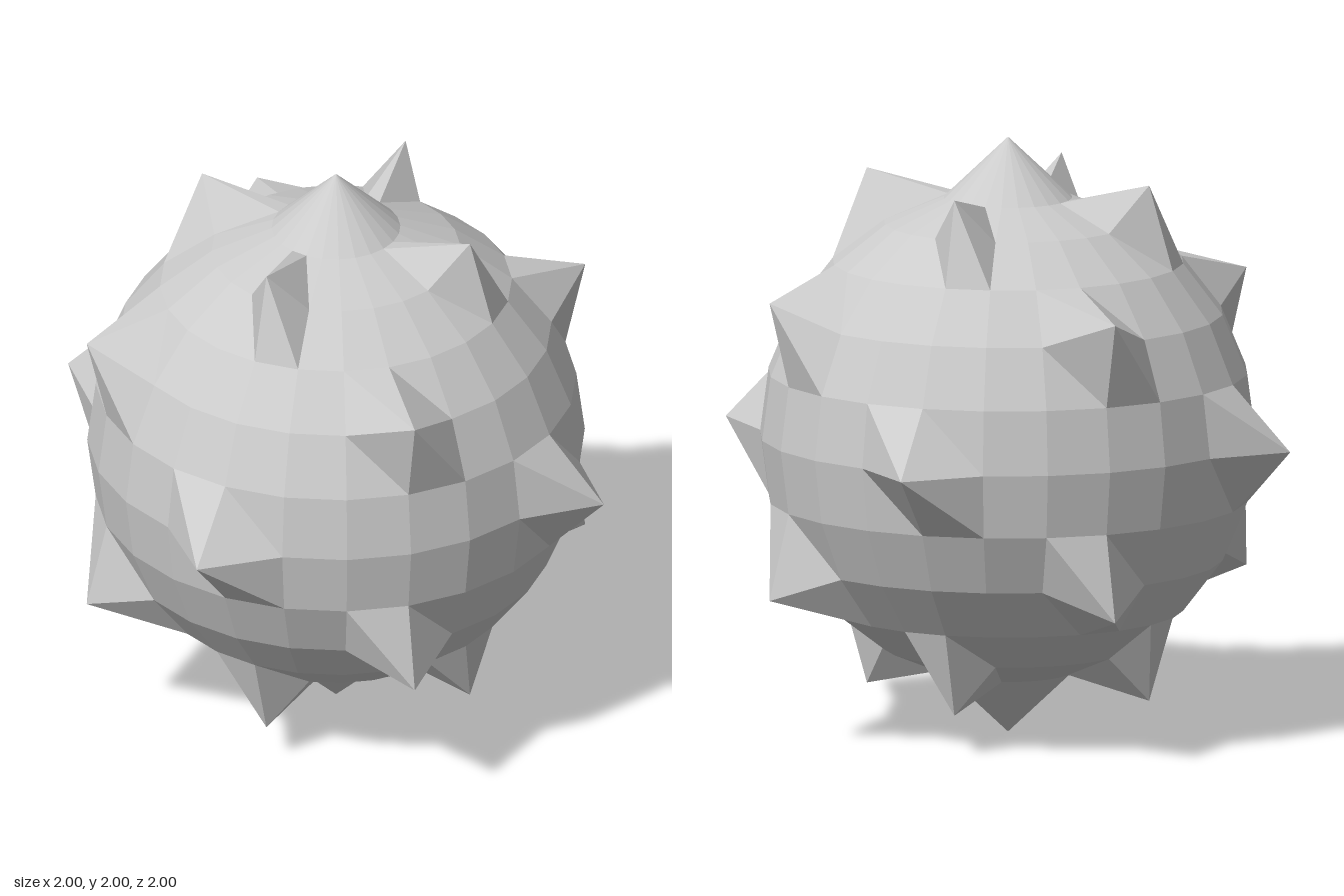
import * as THREE from 'three';

const SEGMENTS = 24, RINGS = 12;
const BODY_RADIUS = 0.825, TIP_RADIUS = 1;

// Spikes by ring: every sixth column, starting at the given one
const spikeStart = { 2: 0, 4: 3, 6: 0, 8: 3, 10: 0 };

function isTip(ring, column) {
  if (ring === 0 || ring === RINGS) return true; // both poles
  return ring in spikeStart && column % 6 === spikeStart[ring];
}

export function createModel() {
  const group = new THREE.Group();
  group.name = 'spikedBall';

  // Faceted ball with single vertices pulled outwards into spikes
  const sphere = new THREE.SphereGeometry(BODY_RADIUS, SEGMENTS, RINGS);
  const position = sphere.attributes.position;
  const point = new THREE.Vector3();
  for (let ring = 0; ring <= RINGS; ring++) {
    for (let column = 0; column <= SEGMENTS; column++) {
      if (!isTip(ring, column)) continue;
      const i = ring * (SEGMENTS + 1) + column;
      point.fromBufferAttribute(position, i).setLength(TIP_RADIUS);
      position.setXYZ(i, point.x, point.y, point.z);
    }
  }

  // Separate faces for crisp facets
  const geometry = sphere.toNonIndexed();
  geometry.computeVertexNormals();

  const material = new THREE.MeshStandardMaterial({ color: 0xcccccc, flatShading: true });
  const ball = new THREE.Mesh(geometry, material);
  ball.name = 'ballWithSpikes';
  ball.position.y = TIP_RADIUS;
  group.add(ball);
  return group;
}
